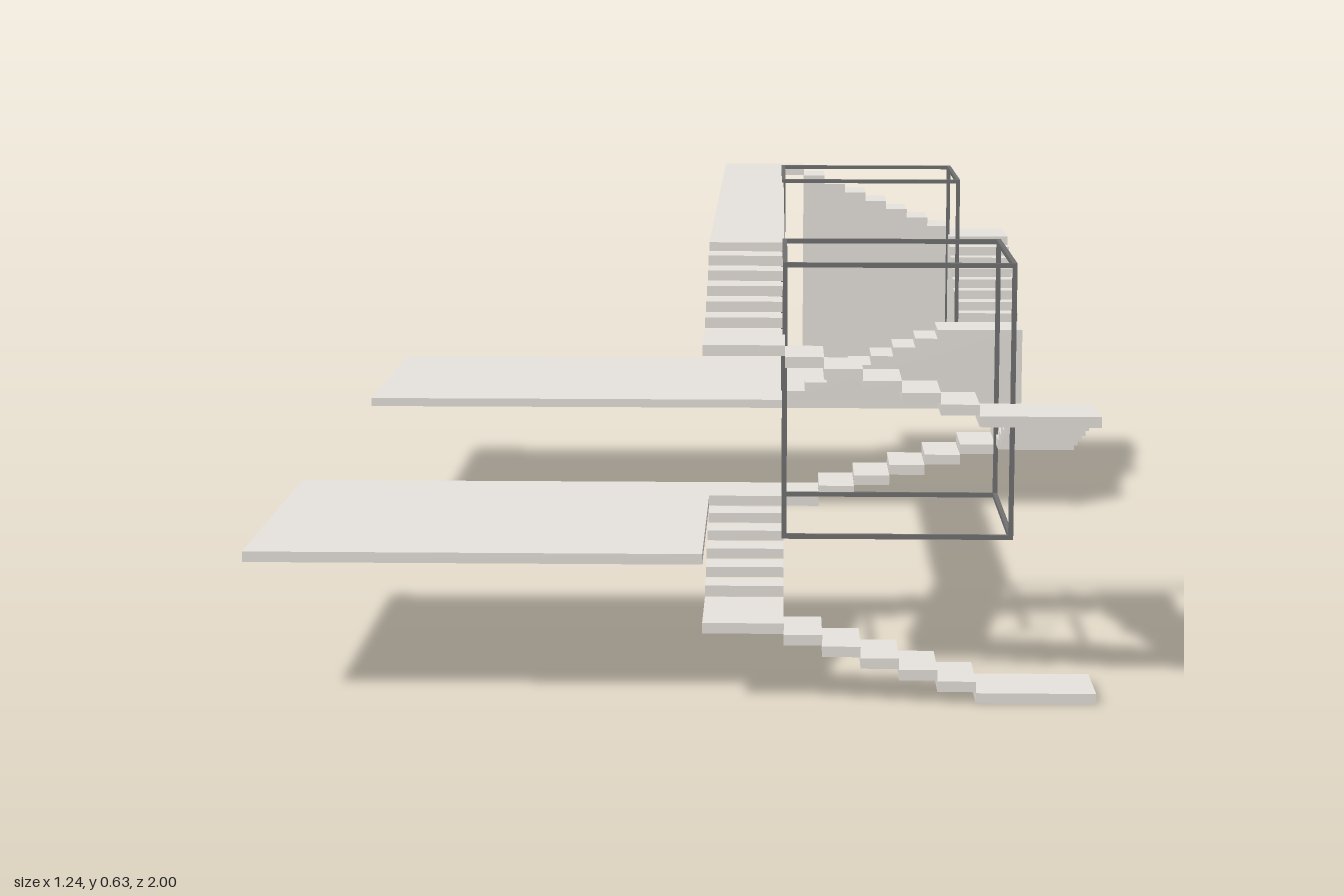
import * as THREE from 'three';

const OUT = 0.285;          // half width of a stair tower
const IN = 0.167;           // half width of its open well
const CX = 0.333, CZ = 0.715; // tower centre (z is mirrored for the back tower)
const RISE = 0.0169, SLAB = 0.0155;
const BASE = 12 * RISE;     // underside of the platforms
const TOP = 0.608, DECK = 0.622; // underside and top of the bridge

export function createModel() {
  const model = new THREE.Group();
  const stone = new THREE.MeshStandardMaterial({ color: 0xe6e2dc });
  stone.name = 'pale warm stone';
  const metal = new THREE.MeshStandardMaterial({ color: 0x707070 });
  metal.name = 'mid grey frame';

  function box(parent, name, mat, x0, x1, y0, y1, z0, z1) {
    const mesh = new THREE.Mesh(new THREE.BoxGeometry(x1 - x0, y1 - y0, z1 - z0), mat);
    mesh.position.set((x0 + x1) / 2, (y0 + y1) / 2, (z0 + z1) / 2);
    mesh.name = name;
    parent.add(mesh);
  }

  // A group on a tower's axis, turned by quarter turns
  function quarter(name, z, turns) {
    const g = new THREE.Group();
    g.name = name;
    g.position.set(CX, 0, z);
    g.rotation.y = turns * Math.PI / 2;
    model.add(g);
    return g;
  }

  // Platforms
  box(model, 'frontPlatform', stone, -CX - OUT, CX - OUT, BASE, BASE + SLAB, CZ - OUT, CZ + OUT);
  box(model, 'backPlatform', stone, -CX - OUT, CX + OUT, BASE, BASE + SLAB, -CZ - OUT, -CZ + OUT);

  // Front tower: six open flights of floating treads winding upward
  const tread = 2 * IN / 6;
  for (let k = 0; k < 6; k++) {
    const flight = quarter('openFlight' + (k + 1), CZ, -k);
    const y = k * 6 * RISE;
    box(flight, 'landing', stone, IN - tread, OUT, y, y + SLAB, IN, OUT);
    for (let i = 1; i < 6; i++) {
      const x = IN - i * tread, sy = y + i * RISE;
      box(flight, 'tread', stone, x - tread, x, sy, sy + SLAB, IN, OUT);
    }
  }

  // Bridge between the towers, with a short return at the back
  const run = 2 * IN / 8;
  box(model, 'bridge', stone, CX - OUT, CX - IN, TOP, DECK, -CZ - OUT, CZ - IN);
  box(model, 'bridgeReturn', stone, CX - IN, CX - IN + run, TOP, DECK, -CZ - OUT, -CZ - IN);

  // Back tower: three solid flights standing on the platform
  const floor = BASE + SLAB;
  for (let k = 0; k < 3; k++) {
    const last = k === 2;
    const steps = last ? 7 : 8;
    const y = floor + k * 8 * RISE;
    const end = last ? -IN + 7 * run : OUT;
    const shape = new THREE.Shape();
    shape.moveTo(-IN, floor);
    shape.lineTo(end, floor);
    shape.lineTo(end, y + steps * RISE);
    for (let i = steps - 1; i >= 0; i--) {
      const x = -IN + i * run;
      shape.lineTo(x, y + (i + 1) * RISE);
      if (i > 0) shape.lineTo(x, y + i * RISE);
    }
    shape.closePath();
    const geo = new THREE.ExtrudeGeometry(shape, { depth: OUT - IN, bevelEnabled: false });
    geo.translate(0, 0, IN);
    const mesh = new THREE.Mesh(geo, stone);
    mesh.name = 'solidStairs';
    quarter('solidFlight' + (k + 1), -CZ, k).add(mesh);
  }

  // Thin cube frames centred on the edges of both wells
  const t = 0.0035; // half thickness of a bar
  const low = floor + t, high = 0.6245;
  for (const [name, z] of [['frontFrame', CZ], ['backFrame', -CZ]]) {
    for (let q = 0; q < 4; q++) {
      const side = quarter(name + 'Side' + (q + 1), z, q);
      box(side, 'post', metal, IN - t, IN + t, low - t, high + t, IN - t, IN + t);
      for (const y of [low, high]) {
        box(side, 'rail', metal, -IN + t, IN - t, y - t, y + t, IN - t, IN + t);
      }
    }
  }
  return model;
}
